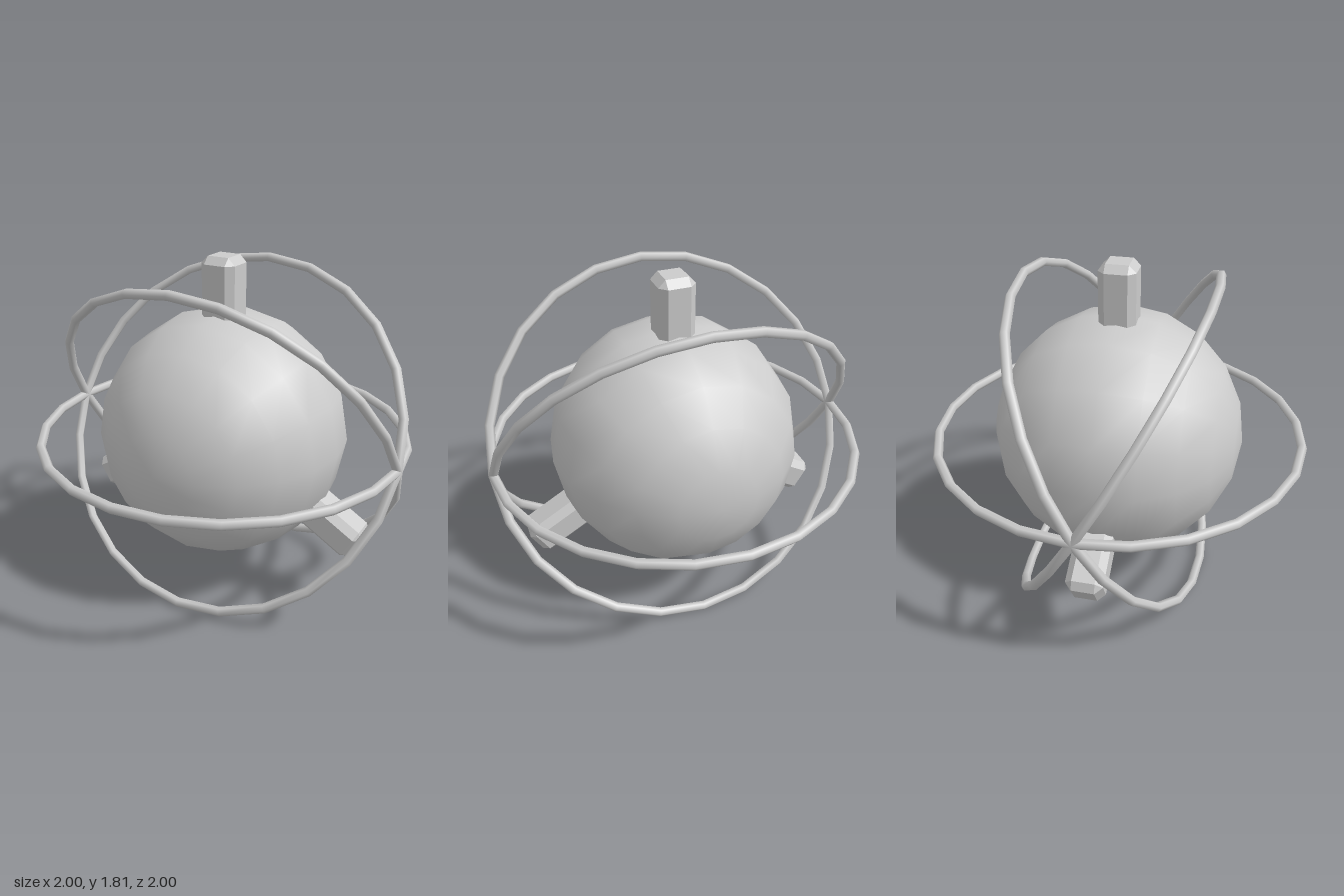
import * as THREE from 'three';
import { ConvexGeometry } from 'three/addons/geometries/ConvexGeometry.js';

const CENTRE_Y = 0.868;

// Square post along +y with bevelled edges and outer end
function postGeometry(half, bevel, start, end) {
  const inner = half - bevel;
  const points = [];
  for (const sx of [-1, 1]) {
    for (const sz of [-1, 1]) {
      for (const y of [start, end - bevel]) {
        points.push(new THREE.Vector3(sx * half, y, sz * inner));
        points.push(new THREE.Vector3(sx * inner, y, sz * half));
      }
      points.push(new THREE.Vector3(sx * inner, end, sz * inner));
    }
  }
  return new ConvexGeometry(points);
}

export function createModel() {
  const model = new THREE.Group();
  model.name = 'ringedSphere';
  const grey = new THREE.MeshStandardMaterial({ color: 0xcccccc });
  grey.name = 'light grey';

  const add = (name, geometry) => {
    const mesh = new THREE.Mesh(geometry, grey);
    mesh.name = name;
    mesh.position.y = CENTRE_Y;
    model.add(mesh);
    return mesh;
  };

  // Core with its poles facing front and back
  add('core', new THREE.SphereGeometry(0.665, 16, 10).rotateX(Math.PI / 2));

  // Three rings sharing the x axis, 60 degrees apart
  const ringGeometry = new THREE.TorusGeometry(0.975, 0.025, 6, 24).rotateX(Math.PI / 2);
  ['levelRing', 'forwardRing', 'backwardRing'].forEach((name, i) => {
    add(name, ringGeometry).rotation.x = (i * Math.PI) / 3;
  });

  // Three posts spaced evenly around the core
  const post = postGeometry(0.095, 0.037, 0.5, 0.94);
  ['topPost', 'rightPost', 'leftPost'].forEach((name, i) => {
    add(name, post).rotation.z = (i * Math.PI * 2) / 3;
  });

  return model;
}
